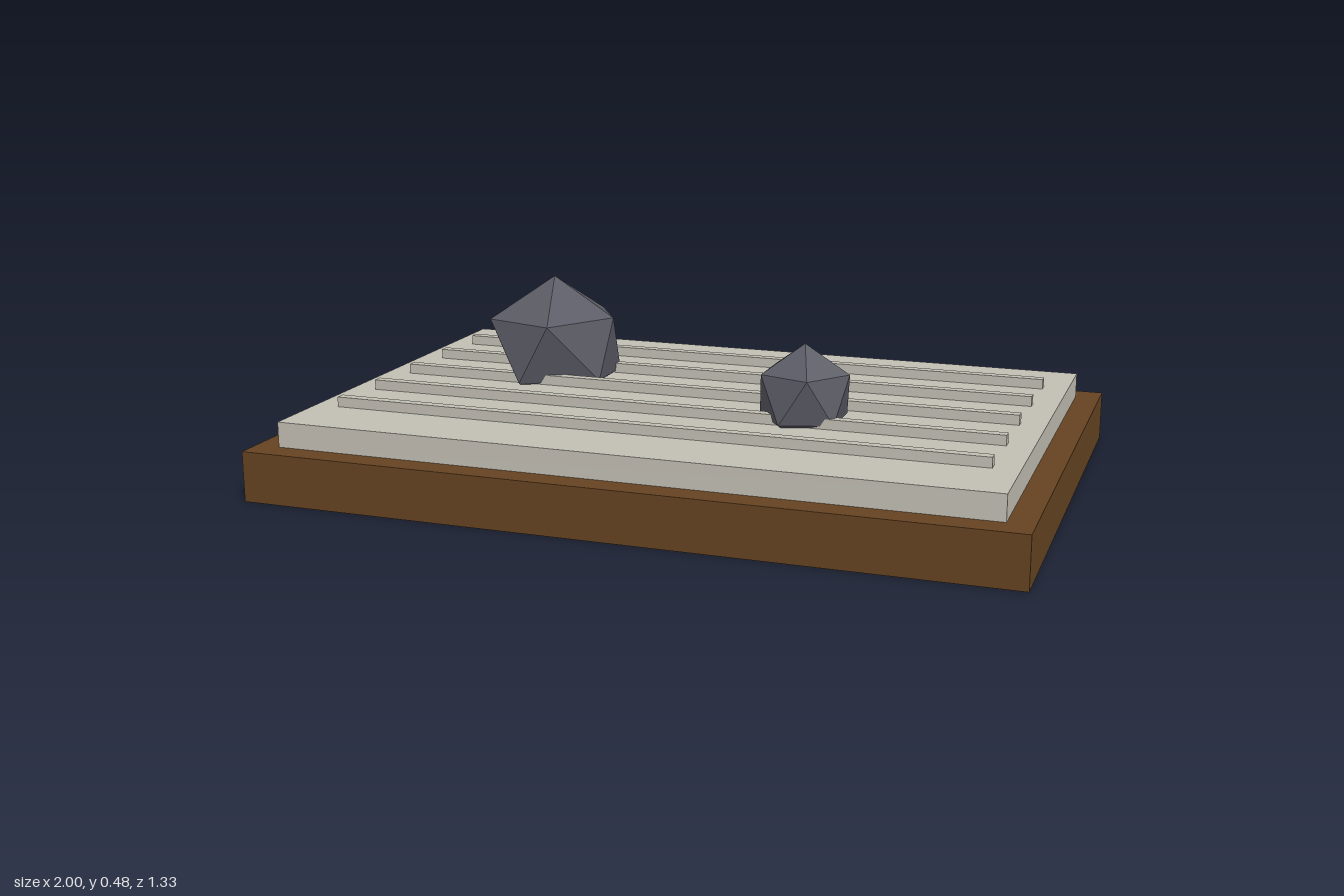
import * as THREE from 'three';

const wood = new THREE.MeshStandardMaterial({ name: 'brown wood', color: 0x654321 });
const sand = new THREE.MeshStandardMaterial({ name: 'pale sand', color: 0xc2beb4 });
const stone = new THREE.MeshStandardMaterial({ name: 'grey stone', color: 0x5b5b65 });

function box(name, material, w, h, d, bottom, z = 0) {
  const mesh = new THREE.Mesh(new THREE.BoxGeometry(w, h, d), material);
  mesh.name = name;
  mesh.position.set(0, bottom + h / 2, z);
  return mesh;
}

// Twenty-sided rock: a top point, two staggered rings of five, a bottom point
function rock(name, top, upper, lower, bottom) {
  const tris = [];
  for (let i = 0; i < 5; i++) {
    const j = (i + 1) % 5;
    tris.push(top, upper[i], upper[j]);
    tris.push(upper[i], lower[i], upper[j]);
    tris.push(lower[i], lower[j], upper[j]);
    tris.push(bottom, lower[j], lower[i]);
  }
  const geometry = new THREE.BufferGeometry();
  geometry.setAttribute('position', new THREE.Float32BufferAttribute(tris.flat(), 3));
  geometry.computeVertexNormals();
  const mesh = new THREE.Mesh(geometry, stone);
  mesh.name = name;
  return mesh;
}

// Five evenly spaced ring points, counter-clockwise from above
function ring(x, y, z, r, start) {
  return Array.from({ length: 5 }, (_, i) => {
    const a = start + (i * Math.PI * 2) / 5;
    return [x + r * Math.cos(a), y, z - r * Math.sin(a)];
  });
}

export function createModel() {
  const group = new THREE.Group();
  group.name = 'sandGarden';

  // Wooden tray and sand bed
  group.add(box('tray', wood, 2, 0.1333, 1.3333, 0));
  group.add(box('sandBed', sand, 1.8667, 0.0667, 1.2, 0.1333));

  // Raked ridges
  for (let i = -2; i <= 2; i++) {
    group.add(box('rakedRidge', sand, 1.7333, 0.0267, 0.0267, 0.2, i * 0.2));
  }

  // Small regular rock
  const [x, y, z, r] = [0.333, 0.267, 0.133, 0.133];
  group.add(rock('smallRock', [x, y + r, z],
    ring(x, y + r * 0.447, z, r * 0.894, 0),
    ring(x, y - r * 0.447, z, r * 0.894, Math.PI / 5),
    [x, y - r, z]));

  // Large uneven rock
  group.add(rock('largeRock', [-0.483, 0.477, -0.15],
    [[-0.301, 0.37, -0.138], [-0.401, 0.362, -0.31], [-0.629, 0.364, -0.238],
      [-0.629, 0.366, -0.028], [-0.422, 0.37, 0.049]],
    [[-0.316, 0.205, -0.225], [-0.545, 0.215, -0.303], [-0.634, 0.24, -0.133],
      [-0.513, 0.205, 0.043], [-0.316, 0.205, -0.064]],
    [-0.467, 0.09, -0.133]));

  return group;
}
